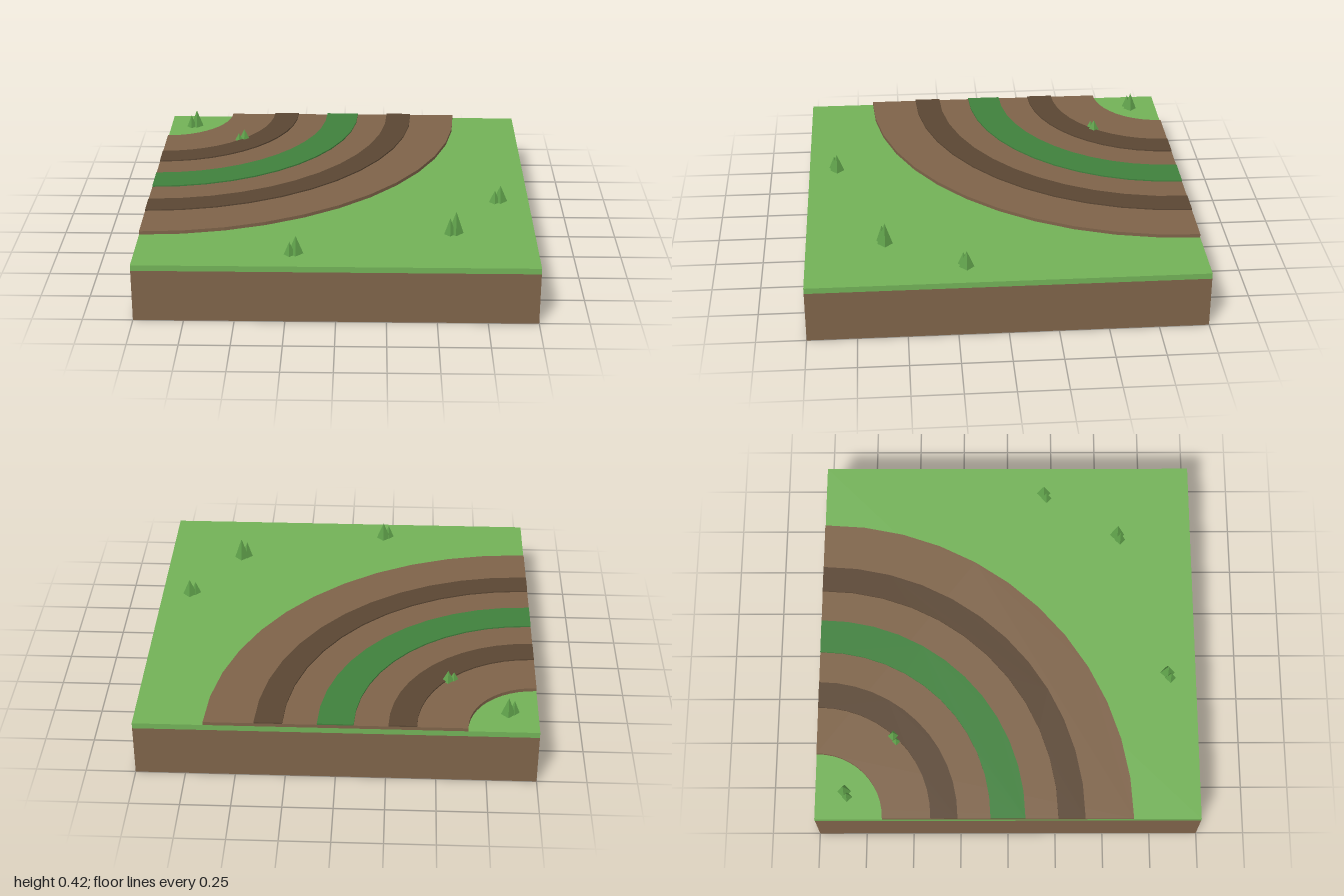
import * as THREE from 'three';

const paint = (name, color) => {
  const m = new THREE.MeshStandardMaterial({ color });
  m.name = name;
  return m;
};

export function createModel() {
  const earth = paint('earth brown', 0x7e6349);
  const grass = paint('grass green', 0x72b157);
  const rut = paint('dark rut brown', 0x5a4633);
  const verge = paint('deep green', 0x3f803c);
  const blade = paint('tuft green', 0x5fa04a);
  const model = new THREE.Group();
  model.name = 'dirtRoadCornerTile';

  const add = (name, geometry, material, parent = model) => {
    const mesh = new THREE.Mesh(geometry, material);
    mesh.name = name;
    parent.add(mesh);
    return mesh;
  };

  // Square block of soil with a layer of grass
  add('soilBlock', new THREE.BoxGeometry(2, 0.27, 2), earth).position.y = 0.135;
  add('grassLayer', new THREE.BoxGeometry(2, 0.03, 2), grass).position.y = 0.285;

  // Quarter ring curving around the back right corner
  const band = (name, inner, outer, bottom, top, material) => {
    const steps = 12;
    const points = [];
    for (let i = 0; i <= 2 * steps + 1; i++) {
      const out = i <= steps;
      const a = -(out ? i : 2 * steps + 1 - i) / steps * Math.PI / 2;
      const r = out ? outer : inner;
      points.push(new THREE.Vector2(r * Math.cos(a), r * Math.sin(a)));
    }
    const geometry = new THREE.ExtrudeGeometry(new THREE.Shape(points), { depth: top - bottom, bevelEnabled: false });
    geometry.rotateX(-Math.PI / 2);
    add(name, geometry, material).position.set(-1, bottom, -1);
  };
  band('dirtRoad', 0.35, 1.65, 0.3, 0.318, earth);
  band('innerRut', 0.6, 0.74, 0.318, 0.325, rut);
  band('outerRut', 1.26, 1.4, 0.318, 0.325, rut);
  band('centreGrassStrip', 0.91, 1.09, 0.318, 0.325, verge);

  // Grass tufts: a tall and a short four-sided blade each
  const cone = (r, h) => new THREE.ConeGeometry(r, h, 4).toNonIndexed().translate(0, h / 2, 0);
  const tuft = (x, z, y, tall, short, r) => {
    const group = new THREE.Group();
    group.name = 'grassTuft';
    group.position.set(x, y, z);
    model.add(group);
    [[0, 0, r, tall, 'tallBlade'], [-0.03, 0.015, r * 0.75, short, 'shortBlade']].forEach(([dx, dz, rad, h, name]) => {
      const geometry = cone(rad, h);
      geometry.computeVertexNormals();
      add(name, geometry, blade, group).position.set(dx, 0, dz);
    });
  };
  tuft(-0.85, -0.85, 0.3, 0.095, 0.07, 0.036);
  tuft(-0.2, 0.85, 0.3, 0.095, 0.07, 0.038);
  tuft(0.6, 0.6, 0.3, 0.117, 0.09, 0.039);
  tuft(0.85, 0.2, 0.3, 0.088, 0.066, 0.038);
  tuft(-0.555, -0.6, 0.318, 0.06, 0.042, 0.03);

  return model;
}
